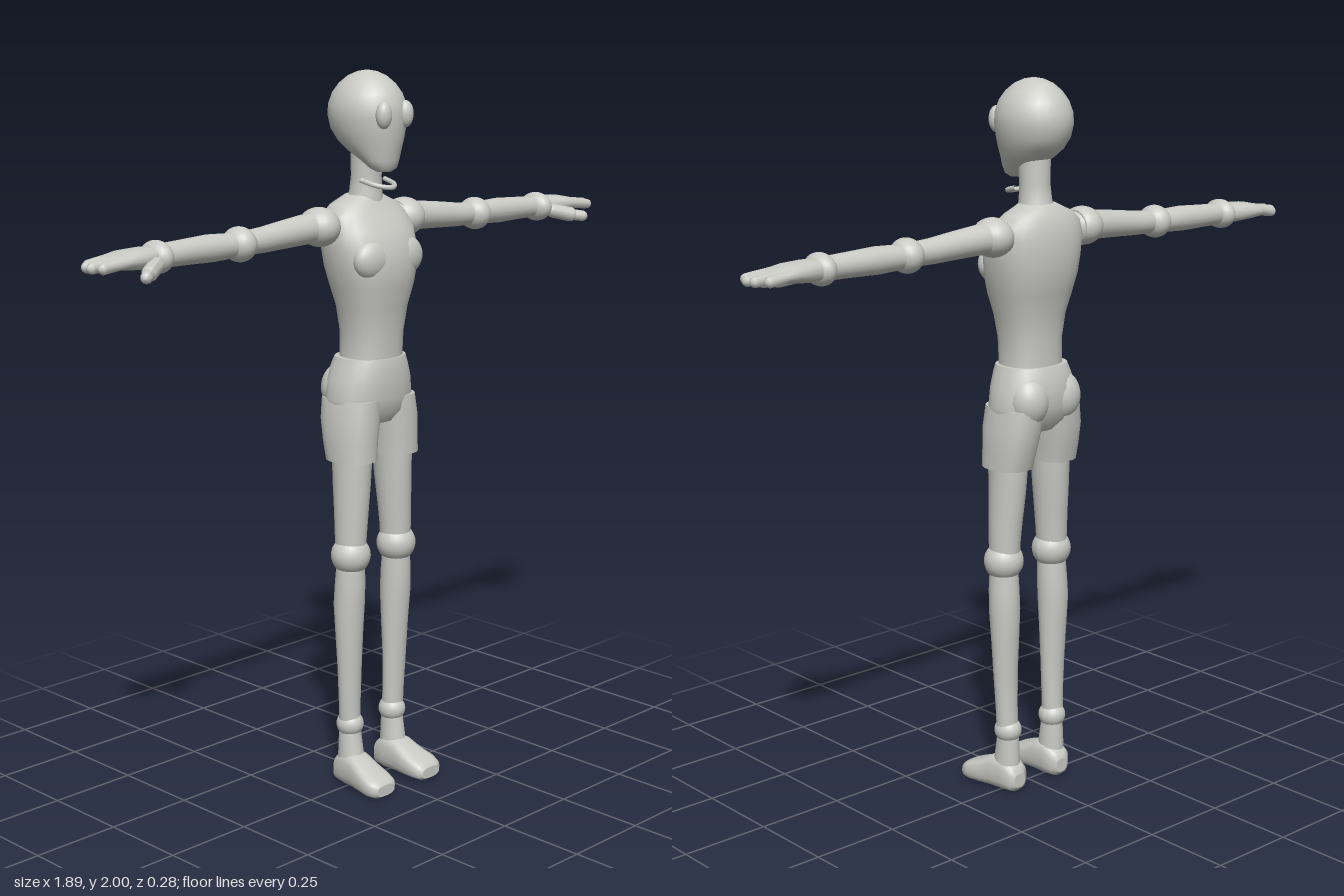
import * as THREE from 'three';

const grey = new THREE.MeshStandardMaterial({ color: 0xc9cac4 });
grey.name = 'light clay grey';

// Skin over oval rings along an axis; each section is [t, centreU, centreV, radiusU, radiusV].
// (u, v) is (z, x) along y, (y, z) along x and (x, y) along z. power > 2 squares the ovals.
function loft(axis, sections, power = 2, sides = 20) {
  const a = 'xyz'.indexOf(axis), u = (a + 1) % 3, v = (a + 2) % 3;
  const pos = [], idx = [];
  const push = (t, pu, pv) => {
    const p = [0, 0, 0];
    p[a] = t; p[u] = pu; p[v] = pv;
    pos.push(...p);
  };
  const round = (n) => Math.sign(n) * Math.abs(n) ** (2 / power);
  const ring = ([t, cu, cv, ru, rv]) => {
    for (let j = 0; j < sides; j++) {
      const k = (j / sides) * Math.PI * 2;
      push(t, cu + ru * round(Math.cos(k)), cv + rv * round(Math.sin(k)));
    }
  };
  sections.forEach(ring);
  for (let i = 0; i < sections.length - 1; i++) {
    for (let j = 0; j < sides; j++) {
      const n = (j + 1) % sides, p = i * sides, q = p + sides;
      idx.push(p + j, p + n, q + n, p + j, q + n, q + j);
    }
  }
  // End caps with their own vertices, so the rims stay crisp
  [sections[0], sections[sections.length - 1]].forEach((s, end) => {
    const base = pos.length / 3;
    ring(s);
    push(s[0], s[1], s[2]);
    for (let j = 0; j < sides; j++) {
      const n = (j + 1) % sides;
      idx.push(base + sides, base + (end ? j : n), base + (end ? n : j));
    }
  });
  const g = new THREE.BufferGeometry();
  g.setAttribute('position', new THREE.Float32BufferAttribute(pos, 3));
  g.setIndex(idx);
  g.computeVertexNormals();
  return g;
}

function ball(x, y, z, rx, ry = rx, rz = rx) {
  return new THREE.SphereGeometry(1, 24, 16).scale(rx, ry, rz).translate(x, y, z);
}

// Rounded finger between two points
function digit(from, to, r) {
  const a = new THREE.Vector3(...from), b = new THREE.Vector3(...to);
  const d = b.clone().sub(a);
  const g = new THREE.CapsuleGeometry(r, d.length(), 4, 10);
  g.applyQuaternion(new THREE.Quaternion().setFromUnitVectors(new THREE.Vector3(0, 1, 0), d.normalize()));
  const m = a.add(b).multiplyScalar(0.5);
  return g.translate(m.x, m.y, m.z);
}

function mirrored(geometry) {
  const g = geometry.clone().scale(-1, 1, 1);
  const i = g.index.array;
  for (let k = 0; k < i.length; k += 3) [i[k], i[k + 1]] = [i[k + 1], i[k]];
  g.computeVertexNormals();
  return g;
}

export function createModel() {
  const model = new THREE.Group();
  model.name = 'jointedFigure';
  const add = (name, geometry) => {
    const mesh = new THREE.Mesh(geometry, grey);
    mesh.name = name;
    model.add(mesh);
  };
  const pair = (name, geometry) => {
    add('left' + name, geometry);
    add('right' + name, mirrored(geometry));
  };

  // Egg-shaped head: round skull, narrow chin set forward
  add('head', loft('y', [
    [1.735, 0.04, 0, 0.018, 0.022], [1.745, 0.036, 0, 0.034, 0.04], [1.765, 0.024, 0, 0.05, 0.054],
    [1.79, 0.002, 0, 0.077, 0.068], [1.815, -0.012, 0, 0.096, 0.081], [1.845, -0.021, 0, 0.109, 0.092],
    [1.88, -0.024, 0, 0.114, 0.099], [1.91, -0.024, 0, 0.112, 0.098], [1.94, -0.024, 0, 0.1, 0.088],
    [1.965, -0.024, 0, 0.081, 0.071], [1.985, -0.024, 0, 0.055, 0.049], [1.996, -0.024, 0, 0.028, 0.026],
    [2, -0.024, 0, 0.004, 0.004]], 2, 28));
  pair('Eye', ball(0.041, 1.887, 0.078, 0.023, 0.036, 0.021));
  add('neck', loft('y', [
    [1.63, -0.035, 0, 0.055, 0.055], [1.68, -0.03, 0, 0.045, 0.045],
    [1.72, -0.028, 0, 0.042, 0.042], [1.8, -0.025, 0, 0.045, 0.045]]));
  // Small curved piece in front of the throat
  const collar = new THREE.CatmullRomCurve3([[-0.048, 1.712, 0], [-0.036, 1.7, 0.045], [0, 1.694, 0.068],
    [0.032, 1.7, 0.045], [0.042, 1.71, 0]].map((p) => new THREE.Vector3(...p)));
  add('throatCollar', new THREE.TubeGeometry(collar, 20, 0.007, 8));

  // Torso from waist to shoulder line
  add('torso', loft('y', [
    [1.2, -0.01, 0, 0.075, 0.09], [1.24, -0.01, 0, 0.077, 0.086], [1.3, -0.008, 0, 0.078, 0.087],
    [1.37, -0.007, 0, 0.085, 0.1], [1.43, -0.008, 0, 0.1, 0.118], [1.48, -0.012, 0, 0.108, 0.131],
    [1.53, -0.017, 0, 0.107, 0.139], [1.58, -0.027, 0, 0.096, 0.142], [1.62, -0.038, 0, 0.077, 0.13],
    [1.645, -0.04, 0, 0.063, 0.105], [1.66, -0.04, 0, 0.053, 0.07], [1.67, -0.038, 0, 0.045, 0.05]], 2.4, 24));
  pair('ChestMuscle', ball(0.062, 1.505, 0.055, 0.062, 0.055, 0.036));

  // Shorts
  add('shortsHips', loft('y', [
    [1.05, -0.015, 0, 0.06, 0.07], [1.08, -0.018, 0, 0.083, 0.128], [1.12, -0.02, 0, 0.093, 0.131],
    [1.17, -0.02, 0, 0.096, 0.122], [1.21, -0.016, 0, 0.09, 0.108], [1.232, -0.014, 0, 0.084, 0.1]], 2.4, 24));
  pair('ShortsLeg', loft('y', [
    [0.95, -0.006, 0.081, 0.073, 0.06], [1, -0.012, 0.079, 0.08, 0.062],
    [1.06, -0.017, 0.074, 0.088, 0.065], [1.12, -0.02, 0.066, 0.09, 0.062]], 2.4));
  pair('Buttock', ball(0.058, 1.14, -0.068, 0.058, 0.07, 0.054));

  // Legs
  pair('Thigh', loft('y', [
    [0.68, -0.002, 0.089, 0.043, 0.042], [0.74, -0.002, 0.088, 0.046, 0.044], [0.8, -0.003, 0.085, 0.05, 0.046],
    [0.88, -0.005, 0.081, 0.057, 0.048], [0.97, -0.006, 0.078, 0.063, 0.049]]));
  pair('Knee', ball(0.09, 0.68, 0, 0.056, 0.055, 0.055));
  pair('Shin', loft('y', [
    [0.18, -0.01, 0.087, 0.03, 0.031], [0.25, -0.008, 0.088, 0.029, 0.033], [0.35, -0.006, 0.09, 0.031, 0.037],
    [0.45, -0.006, 0.091, 0.037, 0.041], [0.54, -0.005, 0.092, 0.044, 0.044], [0.6, -0.002, 0.091, 0.043, 0.043],
    [0.67, 0, 0.09, 0.038, 0.04]]));
  pair('Ankle', ball(0.085, 0.18, -0.01, 0.038, 0.037, 0.04));
  pair('FootStem', loft('y', [
    [0.04, 0, 0.085, 0.046, 0.036], [0.09, -0.006, 0.085, 0.04, 0.034], [0.16, -0.01, 0.085, 0.033, 0.03]]));
  pair('Foot', loft('z', [
    [-0.056, 0.082, 0.036, 0.02, 0.02], [-0.046, 0.082, 0.042, 0.035, 0.038], [-0.01, 0.083, 0.052, 0.041, 0.052],
    [0.03, 0.086, 0.049, 0.043, 0.049], [0.07, 0.089, 0.038, 0.049, 0.038], [0.105, 0.092, 0.031, 0.052, 0.031],
    [0.13, 0.092, 0.026, 0.046, 0.025], [0.14, 0.092, 0.023, 0.034, 0.016]], 2.8));

  // Arms held straight out
  pair('Shoulder', ball(0.163, 1.594, -0.042, 0.054, 0.053, 0.062));
  pair('UpperArm', loft('x', [
    [0.13, 1.595, -0.045, 0.045, 0.048], [0.22, 1.592, -0.043, 0.04, 0.041], [0.3, 1.586, -0.041, 0.037, 0.037],
    [0.37, 1.58, -0.04, 0.034, 0.034], [0.45, 1.577, -0.04, 0.031, 0.033]]));
  pair('Elbow', ball(0.45, 1.577, -0.038, 0.042, 0.046, 0.052));
  pair('Forearm', loft('x', [
    [0.46, 1.576, -0.039, 0.032, 0.035], [0.55, 1.576, -0.042, 0.036, 0.037], [0.63, 1.575, -0.042, 0.033, 0.034],
    [0.73, 1.573, -0.041, 0.03, 0.032]]));
  pair('Wrist', ball(0.722, 1.573, -0.038, 0.034, 0.042, 0.054));

  // Hands: flat palm, four fingers and a thumb dropped forward
  pair('Palm', loft('x', [
    [0.72, 1.573, -0.04, 0.026, 0.036], [0.77, 1.574, -0.041, 0.028, 0.046], [0.82, 1.575, -0.043, 0.024, 0.054],
    [0.86, 1.573, -0.043, 0.018, 0.053], [0.875, 1.572, -0.043, 0.01, 0.046]], 2.4));
  [0.915, 0.929, 0.925, 0.9].forEach((tip, i) => {
    const z = -0.004 - i * 0.026;
    pair('Finger' + (i + 1), digit([0.84, 1.575, z], [tip, 1.567, z + 0.002], 0.0145));
  });
  pair('Thumb', digit([0.755, 1.56, 0], [0.8, 1.548, 0.03], 0.021));
  pair('ThumbTip', digit([0.795, 1.549, 0.026], [0.828, 1.543, 0.052], 0.016));

  return model;
}
